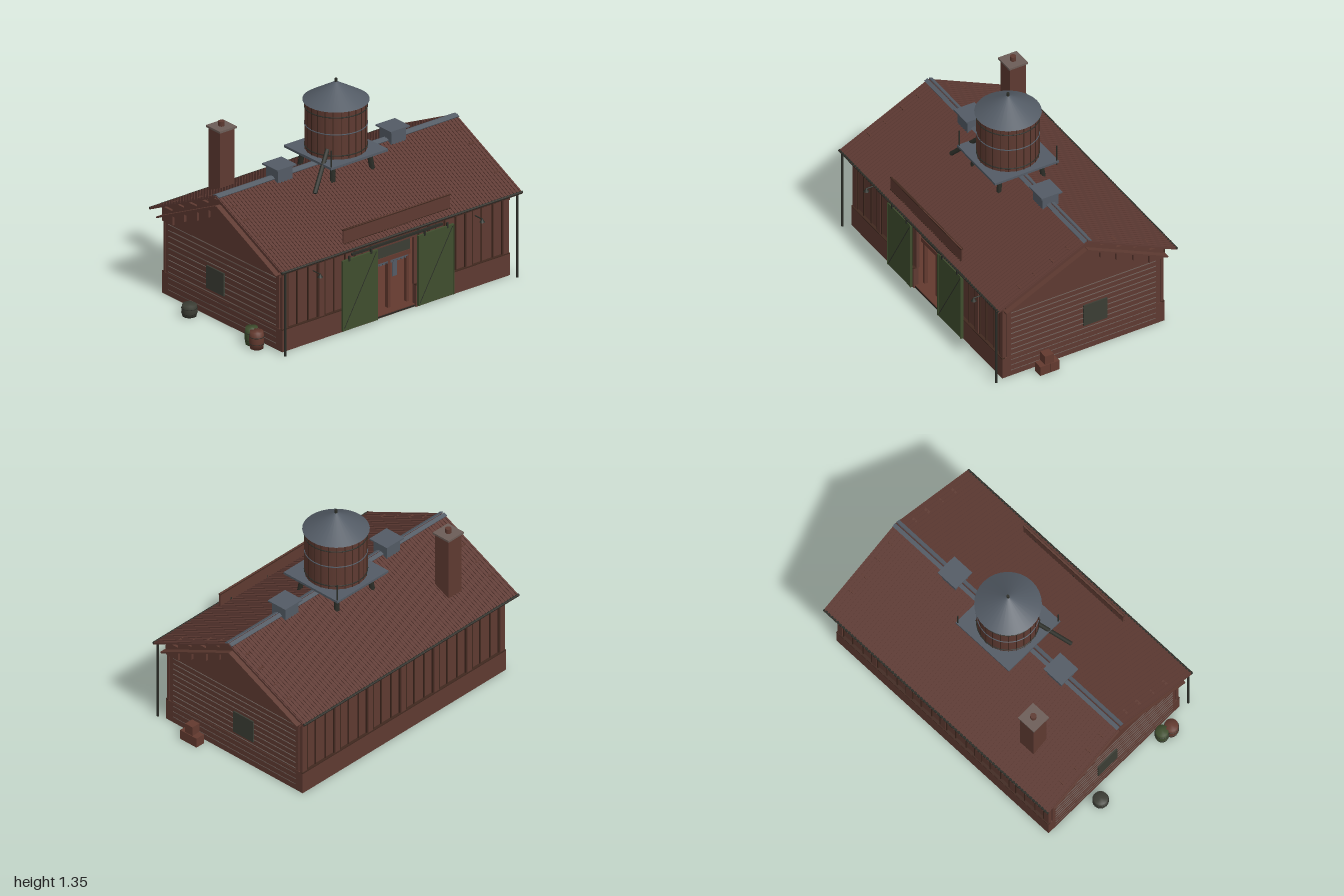
import * as THREE from 'three';
import { mergeGeometries } from 'three/addons/utils/BufferGeometryUtils.js';

const colours = {
  brick: 0x5e3a31, roofing: 0x5e3a33, green: 0x3f4e2e, steel: 0x535b65, iron: 0x2b2d27,
  shutter: 0x3b3d34, mortar: 0x6c5d57, batten: 0x40281f, floorDark: 0x262722, wood: 0x633a2f,
};
const M = {};
for (const [name, color] of Object.entries(colours)) {
  M[name] = new THREE.MeshStandardMaterial({ color });
  M[name].name = name;
}
const CX = 0.02; // the building sits slightly off centre

export function createModel() {
  const root = new THREE.Group();
  root.name = 'waterTowerDepot';

  const add = (name, geo, mat) => {
    const mesh = new THREE.Mesh(geo, mat);
    mesh.name = name;
    root.add(mesh);
    return mesh;
  };
  const boxGeo = (x0, x1, y0, y1, z0, z1) =>
    new THREE.BoxGeometry(x1 - x0, y1 - y0, z1 - z0).translate((x0 + x1) / 2, (y0 + y1) / 2, (z0 + z1) / 2);
  const box = (name, mat, ...b) => add(name, boxGeo(...b), mat);
  const merged = (name, mat, list) => add(name, mergeGeometries(list), mat);
  const cyl = (r0, r1, y0, y1, x, z, n = 24) =>
    new THREE.CylinderGeometry(r1, r0, y1 - y0, n).translate(x, (y0 + y1) / 2, z);
  const rod = (a, b, r, n = 8) => {
    const A = new THREE.Vector3(...a), B = new THREE.Vector3(...b), d = B.clone().sub(A);
    const q = new THREE.Quaternion().setFromUnitVectors(new THREE.Vector3(0, 1, 0), d.clone().normalize());
    return new THREE.CylinderGeometry(r, r, d.length(), n).applyQuaternion(q)
      .translate(...A.add(B).multiplyScalar(0.5).toArray());
  };

  // Floor, sill platform and brick base with a gap for the doorway
  const L = CX - 0.885, R = CX + 0.885, D0 = -0.135, D1 = 0.175;
  box('floorSlab', M.floorDark, L + 0.01, R - 0.01, 0.002, 0.012, -0.555, 0.555);
  box('doorPlatform', M.wood, -0.37, 0.41, 0, 0.018, 0.2, 0.555);
  box('innerFloor', M.wood, L + 0.05, R - 0.05, 0.012, 0.016, -0.52, 0.52);
  merged('brickBase', M.brick, [
    boxGeo(L, D0, 0, 0.143, 0.53, 0.565), boxGeo(D1, R, 0, 0.143, 0.53, 0.565),
    boxGeo(L, R, 0, 0.143, -0.565, -0.53),
    boxGeo(L, L + 0.03, 0, 0.143, -0.53, 0.53), boxGeo(R - 0.03, R, 0, 0.143, -0.53, 0.53),
  ]);

  // Long plank walls
  merged('plankWalls', M.brick, [
    boxGeo(L + 0.01, D0, 0.143, 0.57, 0.525, 0.547), boxGeo(D1, R - 0.01, 0.143, 0.57, 0.525, 0.547),
    boxGeo(D0, D1, 0.455, 0.57, 0.525, 0.547), boxGeo(L + 0.01, R - 0.01, 0.143, 0.57, -0.547, -0.525),
  ]);
  const posts = [], battens = [];
  for (const s of [1, -1]) {
    const slab = (list, x, w, t) => {
      if (s > 0 && x > D0 - 0.02 && x < D1 + 0.02) return;
      list.push(boxGeo(x - w / 2, x + w / 2, 0.143, 0.545, s * 0.55 - t, s * 0.55 + t));
    };
    for (let i = 0; i <= 6; i++) {
      const x = L + 0.025 + i * 0.2867;
      slab(posts, x, 0.04, 0.01);
      if (i > 0) slab(battens, x - 0.026, 0.009, 0.007);
      if (i < 6) {
        slab(battens, x + 0.026, 0.009, 0.007);
        slab(battens, x + 0.1, 0.008, 0.005);
        slab(battens, x + 0.187, 0.008, 0.005);
      }
    }
  }
  merged('wallPosts', M.brick, posts);
  merged('wallBattens', M.batten, battens);
  for (const s of [1, -1]) {
    box('baseLedge', M.batten, L, s > 0 ? D0 : R, 0.141, 0.147, s * 0.556 - 0.01, s * 0.556 + 0.01);
    if (s > 0) box('baseLedge', M.batten, D1, R, 0.141, 0.147, 0.546, 0.566);
    box('eaveBeam', M.batten, L, R, 0.505, 0.535, s * 0.558 - 0.01, s * 0.558 + 0.01);
  }

  // Gable ends: wall, mortar courses, stepped corbels, shuttered window
  const gable = new THREE.Shape([[-0.53, 0.143], [0.53, 0.143], [0.53, 0.58], [0, 0.825], [-0.53, 0.58]]
    .map((p) => new THREE.Vector2(...p)));
  const steps = [[0.45, 0.55, 0.58], [0.34, 0.45, 0.64], [0.22, 0.34, 0.69], [0.11, 0.22, 0.75], [0, 0.11, 0.8]];
  for (const s of [1, -1]) {
    const at = (d) => CX + s * d;
    const sideBox = (d0, d1, ...rest) => boxGeo(Math.min(at(d0), at(d1)), Math.max(at(d0), at(d1)), ...rest);
    const g = new THREE.ExtrudeGeometry(gable, { depth: 0.03, bevelEnabled: false }).rotateY(Math.PI / 2);
    add('gableWall', g.translate(s > 0 ? R - 0.032 : L + 0.002, 0, 0), M.brick);
    const courses = [];
    for (let i = 0; i < 12; i++) {
      const y = 0.04 + i * 0.039;
      courses.push(sideBox(0.88, 0.887, y - 0.002, y + 0.002, -0.505, 0.505));
    }
    merged('mortarCourses', M.mortar, courses);
    merged('steppedCorbels', M.brick, steps.flatMap(([a, b, y]) => [1, -1].map((k) =>
      sideBox(0.86, 0.9, y - 0.095, y, k > 0 ? a : -b, k > 0 ? b : -a))));
    const wz = s > 0 ? -0.08 : -0.06;
    add('gableWindow', sideBox(0.88, 0.892, 0.18, 0.33, wz - 0.082, wz + 0.082), M.shutter);
  }

  // Ribbed roof: each slope is laid flat, then tilted into place
  const tilt = Math.atan2(0.295, 0.625), len = 0.691;
  const slope = (geo, s, ridgeY) => {
    geo.translate(0, 0, len / 2).rotateX(tilt);
    if (s < 0) geo.rotateY(Math.PI);
    return geo.translate(CX, ridgeY, 0);
  };
  for (const s of [1, -1]) {
    add('roofSlope', slope(new THREE.BoxGeometry(1.87, 0.01, len), s, 0.84), M.roofing);
    const ribs = [];
    for (let i = 0; i < 78; i++) {
      const rib = new THREE.BoxGeometry(0.009, 0.006, len).translate(-0.924 + i * 0.024, 0.007, 0);
      ribs.push(slope(rib, s, 0.84));
    }
    merged('roofRibs', M.roofing, ribs);
    // Lower verge boards under each gable overhang
    for (const e of [1, -1]) {
      const board = new THREE.BoxGeometry(0.06, 0.01, 0.62).translate(e * 0.905, 0, -0.035);
      add('vergeBoard', slope(board, s, 0.775), M.brick);
    }
    add('gutter', rod([CX - 0.935, 0.551, s * 0.621], [CX + 0.935, 0.551, s * 0.621], 0.008), M.iron);
    const cap = new THREE.BoxGeometry(1.87, 0.006, 0.026).translate(0, 0.013, -len / 2 + 0.012);
    add('ridgeCap', slope(cap, s, 0.84), M.steel);
  }

  // Downpipes and wall lamps on the front
  for (const x of [-0.885, 0.92]) add('downpipe', rod([x, 0, 0.617], [x, 0.55, 0.617], 0.008), M.iron);
  for (const x of [-0.61, 0.65]) {
    add('lampArm', rod([x, 0.457, 0.545], [x, 0.457, 0.617], 0.004), M.iron);
    add('lampShade', cyl(0.017, 0.003, 0.437, 0.46, x, 0.613, 12), M.iron);
  }

  // Sliding doors, rail and diagonal braces
  box('doorRail', M.iron, -0.33, 0.375, 0.484, 0.498, 0.562, 0.578);
  for (const [a, b] of [[-0.41, -0.138], [0.178, 0.455]]) {
    box('slidingDoor', M.green, a, b, 0.012, 0.472, 0.57, 0.584);
    add('doorBrace', rod([a + 0.01, 0.022, 0.583], [b - 0.01, 0.462, 0.583], 0.004, 4), M.iron);
    for (const x of [a + 0.004, b - 0.004]) box('doorEdge', M.green, x - 0.004, x + 0.004, 0.012, 0.472, 0.584, 0.588);
    for (const x of [a + 0.05, b - 0.05]) box('doorHanger', M.iron, x - 0.006, x + 0.006, 0.46, 0.495, 0.578, 0.587);
  }

  // Doorway frame and awning
  box('transomPanel', M.shutter, D0, D1, 0.365, 0.435, 0.5, 0.51);
  box('transomBeam', M.wood, D0, D1, 0.335, 0.365, 0.49, 0.515);
  box('awning', M.steel, D0, D1, 0.318, 0.335, 0.48, 0.5);
  for (let i = 0; i < 11; i++) box('awningTooth', M.steel, D0 + i * 0.0282, D0 + i * 0.0282 + 0.018, 0.306, 0.318, 0.485, 0.495);
  for (const x of [-0.128, 0.02, 0.165]) box('doorPost', M.wood, x - 0.01, x + 0.01, 0.016, 0.335, 0.475, 0.5);

  // Goods room: shelf rack and crates
  box('rackBack', M.green, -0.5, 0.54, 0.016, 0.5, -0.32, -0.3);
  for (let i = 0; i < 7; i++) box('rackShelf', M.shutter, -0.5, 0.54, 0.05 + i * 0.06, 0.058 + i * 0.06, -0.3, -0.22);
  box('storedCrate', M.wood, -0.12, 0, 0.016, 0.09, 0.12, 0.24);
  for (const x of [-0.105, 0.14]) box('noticeBoard', M.steel, x - 0.017, x + 0.017, 0.16, 0.28, 0.4, 0.406);

  // Sign board standing on the eave
  box('signBoard', M.brick, -0.395, 0.435, 0.578, 0.67, 0.562, 0.572);
  for (const y of [0.578, 0.667]) box('signTrim', M.batten, -0.397, 0.437, y - 0.003, y + 0.003, 0.56, 0.575);
  for (const x of [-0.3, 0.02, 0.34]) box('signStay', M.iron, x - 0.005, x + 0.005, 0.53, 0.6, 0.562, 0.57);

  // Chimney and ridge vents
  box('chimney', M.brick, -0.614, -0.502, 0.62, 1.062, -0.434, -0.323);
  box('chimneyCap', M.mortar, -0.625, -0.492, 1.062, 1.075, -0.444, -0.313);
  add('chimneyPot', cyl(0.019, 0.019, 1.075, 1.105, -0.558, -0.379, 16), M.brick);
  for (const x of [-0.421, 0.462]) {
    box('ventBody', M.steel, x - 0.057, x + 0.057, 0.8, 0.91, -0.055, 0.055);
    box('ventLid', M.steel, x - 0.075, x + 0.075, 0.908, 0.917, -0.072, 0.072);
  }

  // Water tower: legs, platform, staved tank, conical lid
  for (const sx of [1, -1]) for (const sz of [1, -1]) {
    add('towerLeg', rod([CX + sx * 0.155, 0.755, sz * 0.155], [CX + sx * 0.14, 0.89, sz * 0.14], 0.017, 6), M.iron);
  }
  box('platform', M.steel, CX - 0.222, CX + 0.222, 0.885, 0.9, -0.222, 0.222);
  for (const s of [1, -1]) {
    add('platformPost', rod([CX + s * 0.213, 0.87, -s * 0.213], [CX + s * 0.213, 1.01, -s * 0.213], 0.004), M.iron);
  }
  add('tank', cyl(0.188, 0.188, 0.9, 1.216, CX, 0, 32), M.brick);
  const seams = [];
  for (let i = 0; i < 24; i++) {
    seams.push(new THREE.BoxGeometry(0.005, 0.315, 0.005).translate(0, 1.058, 0.188)
      .rotateY(i * Math.PI / 12).translate(CX, 0, 0));
  }
  merged('tankSeams', M.batten, seams);
  for (const [y, mat] of [[0.925, M.iron], [1.063, M.steel], [1.175, M.iron]]) {
    add('tankHoop', new THREE.TorusGeometry(0.19, 0.0035, 6, 40).rotateX(Math.PI / 2).translate(CX, y, 0), mat);
  }
  add('tankRoof', cyl(0.203, 0.008, 1.216, 1.332, CX, 0, 32), M.steel);
  add('finial', cyl(0.009, 0.009, 1.325, 1.352, CX, 0, 10), M.iron);
  add('waterSpout', rod([-0.13, 0.96, 0.1], [-0.31, 0.757, 0.2], 0.014, 10), M.iron);

  // Barrels and crates by the gable ends
  const barrel = (name, mat, x, z, r, h) => {
    add(name, new THREE.LatheGeometry([[0, 0], [r * 0.9, 0], [r, h * 0.35], [r, h * 0.65], [r * 0.9, h], [0, h]]
      .map((p) => new THREE.Vector2(...p)), 20).translate(x, 0, z), mat);
    for (const t of [0.3, 0.7]) add('barrelHoop',
      new THREE.TorusGeometry(r, 0.002, 6, 20).rotateX(Math.PI / 2).translate(x, h * t, z), M.iron);
  };
  barrel('darkBarrel', M.shutter, -0.95, -0.205, 0.048, 0.075);
  barrel('greenBarrel', M.green, -0.925, 0.35, 0.042, 0.11);
  barrel('brownBarrel', M.wood, -0.94, 0.415, 0.045, 0.11);
  box('crate', M.wood, 0.935, 1.0, 0, 0.065, 0.222, 0.287);
  box('crate', M.wood, 0.935, 1.0, 0, 0.065, 0.29, 0.357);
  box('crate', M.wood, 0.935, 0.995, 0.065, 0.127, 0.26, 0.32);
  return root;
}
